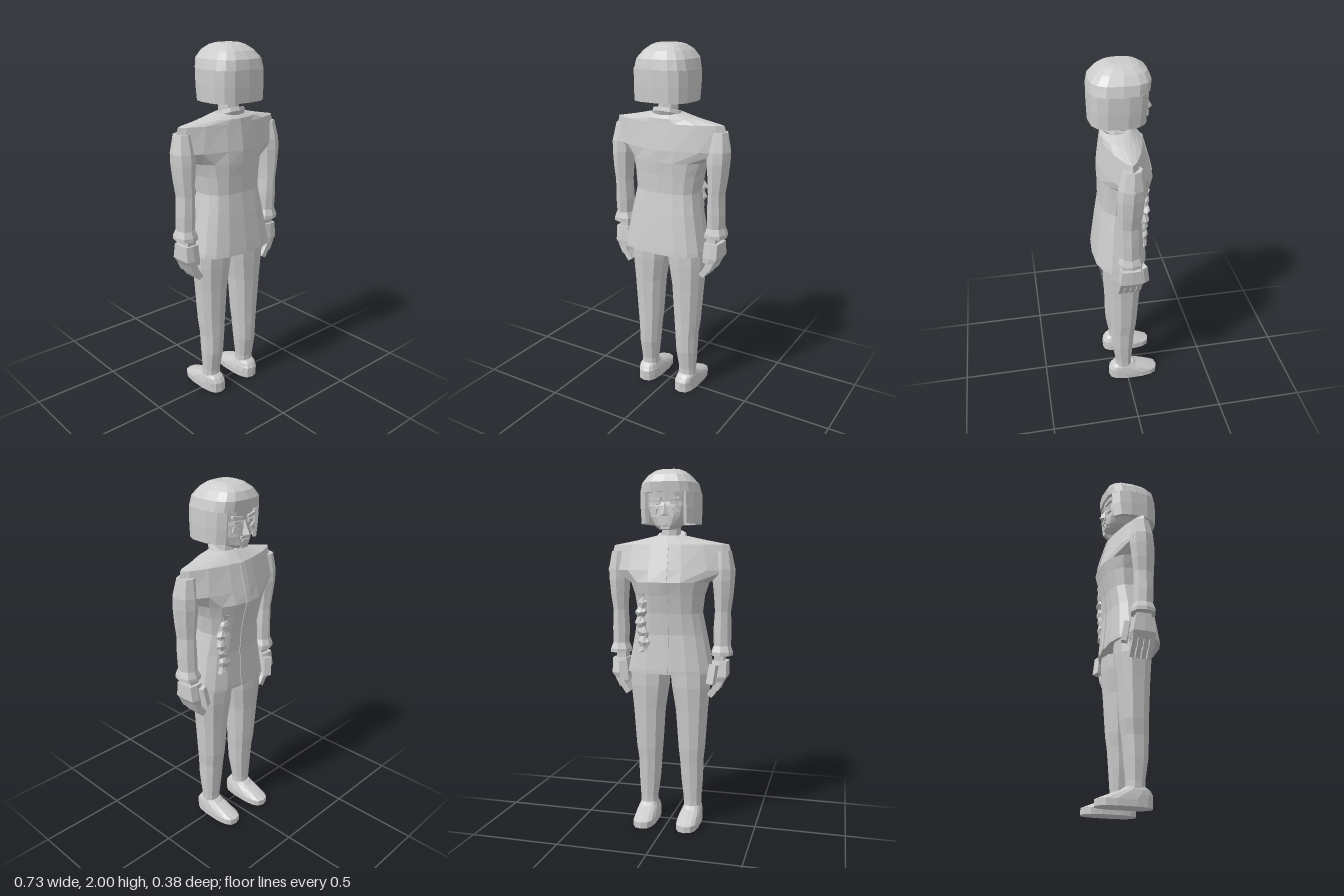
import * as THREE from 'three';

const cloth = new THREE.MeshStandardMaterial({ color: 0xcccccc, flatShading: true });
cloth.name = 'plain grey';

// One horizontal section: x range, z range (back, front), squareness n; faces -z at angle 0
function section(y, x0, x1, back, front, n = 2.4, count = 12, a0 = 0, a1 = Math.PI * 2, tilt = 0) {
  const pw = v => Math.sign(v) * Math.pow(Math.abs(v), 2 / n);
  const full = a1 - a0 > 6.28, pts = [];
  const steps = full ? count : count - 1;
  const cz = (back + front) / 2;
  for (let i = 0; i < count; i++) {
    const a = a0 + (a1 - a0) * i / steps;
    const dz = -pw(Math.cos(a)) * (back - front) / 2;
    pts.push([(x0 + x1) / 2 + pw(Math.sin(a)) * (x1 - x0) / 2, y + tilt * dz, cz + dz]);
  }
  return pts;
}

// Skin rings listed from bottom to top, closing both ends
function loft(rings) {
  const pos = [];
  const tri = (a, b, c) => pos.push(...a, ...b, ...c);
  for (let r = 0; r < rings.length - 1; r++) {
    const p = rings[r], q = rings[r + 1];
    p.forEach((_, i) => {
      const j = (i + 1) % p.length;
      tri(p[i], q[i], p[j]);
      tri(p[j], q[i], q[j]);
    });
  }
  [[rings[0], -1], [rings[rings.length - 1], 1]].forEach(([ring, dir]) => {
    const flat = ring.map(p => new THREE.Vector2(p[0], p[2]));
    for (const [a, b, c] of THREE.ShapeUtils.triangulateShape(flat, [])) {
      const A = flat[a], B = flat[b], C = flat[c];
      const up = (B.y - A.y) * (C.x - A.x) - (B.x - A.x) * (C.y - A.y);
      if (up * dir > 0) tri(ring[a], ring[b], ring[c]);
      else tri(ring[a], ring[c], ring[b]);
    }
  });
  const g = new THREE.BufferGeometry();
  g.setAttribute('position', new THREE.Float32BufferAttribute(pos, 3));
  g.computeVertexNormals();
  return g;
}

function add(parent, name, geometry, x = 0, y = 0, z = 0, rx = 0, ry = 0, rz = 0) {
  const m = new THREE.Mesh(geometry, cloth);
  m.name = name;
  m.position.set(x, y, z);
  m.rotation.set(rx, ry, rz);
  parent.add(m);
  return m;
}
const box = (w, h, d) => new THREE.BoxGeometry(w, h, d);
const stack = (rows, n, count) => loft(rows.map(r => section(...r, n, count)));

function makeLeg() {
  const g = new THREE.Group();
  add(g, 'trouserLeg', stack([
    [0.08, 0.08, 0.18, 0.07, -0.03], [0.13, 0.08, 0.18, 0.07, -0.03],
    [0.25, 0.065, 0.188, 0.09, -0.04], [0.36, 0.058, 0.19, 0.095, -0.05],
    [0.44, 0.05, 0.2, 0.095, -0.06], [0.66, 0.035, 0.215, 0.105, -0.075],
    [0.8, 0.012, 0.228, 0.115, -0.088], [0.92, 0, 0.23, 0.12, -0.09]], 2.4, 10));
  add(g, 'shoe', stack([
    [0, 0.062, 0.19, 0.112, -0.19], [0.035, 0.062, 0.19, 0.112, -0.19],
    [0.06, 0.068, 0.187, 0.112, -0.13], [0.085, 0.078, 0.182, 0.095, -0.06],
    [0.1, 0.085, 0.175, 0.075, -0.04]], 2.8, 14));
  return g;
}

function makeArm() {
  const g = new THREE.Group();
  add(g, 'sleeve', stack([
    [1.0, 0.25, 0.345, 0.068, -0.042], [1.12, 0.245, 0.348, 0.075, -0.04],
    [1.23, 0.252, 0.343, 0.078, -0.04], [1.31, 0.247, 0.355, 0.082, -0.05],
    [1.4, 0.238, 0.364, 0.085, -0.06], [1.46, 0.235, 0.366, 0.08, -0.06],
    [1.56, 0.25, 0.345, 0.055, -0.045]], 2, 8));
  add(g, 'cuff', stack([
    [0.985, 0.235, 0.358, 0.082, -0.055], [1.005, 0.235, 0.358, 0.082, -0.055],
    [1.04, 0.25, 0.345, 0.07, -0.04]], 2.4, 8));
  add(g, 'wrist', box(0.055, 0.06, 0.08), 0.285, 0.965, 0.015);
  add(g, 'palm', stack([
    [0.84, 0.24, 0.315, 0.078, -0.055], [0.87, 0.24, 0.335, 0.08, -0.062],
    [0.955, 0.245, 0.335, 0.07, -0.045]], 6, 8));
  for (let i = 0; i < 4; i++) {
    const z = 0.06 - i * 0.032;
    add(g, 'fingerBase', box(0.04, 0.06, 0.027), 0.282, 0.826, z, 0, 0, -0.45);
    add(g, 'fingerTip', box(0.032, 0.06, 0.025), 0.253, 0.782, z, 0, 0, -0.6);
  }
  add(g, 'thumb', box(0.045, 0.11, 0.03), 0.257, 0.885, -0.07, 0.2, 0.4, -0.15);
  return g;
}

function makeHead() {
  const g = new THREE.Group();
  g.name = 'head';
  add(g, 'neck', new THREE.CylinderGeometry(0.052, 0.06, 0.2, 8), 0, 1.66, 0.025);
  add(g, 'face', stack([
    [1.675, -0.04, 0.04, -0.04, -0.11], [1.695, -0.07, 0.07, 0.06, -0.122],
    [1.74, -0.1, 0.1, 0.09, -0.122], [1.8, -0.118, 0.118, 0.1, -0.118],
    [1.82, -0.12, 0.12, 0.1, -0.112], [1.9, -0.12, 0.12, 0.1, -0.122]], 2.5, 16));
  // Nose, mouth and chin
  const nose = new THREE.ConeGeometry(0.026, 0.075, 4);
  add(g, 'nose', nose, 0, 1.785, -0.12, 0.15);
  add(g, 'upperLip', box(0.07, 0.012, 0.02), 0, 1.735, -0.117);
  add(g, 'lowerLip', box(0.05, 0.012, 0.022), 0, 1.717, -0.117);
  add(g, 'chin', box(0.05, 0.022, 0.02), 0, 1.688, -0.108);
  for (const s of [-1, 1]) {
    add(g, 'brow', box(0.06, 0.014, 0.024), s * 0.05, 1.838, -0.108, 0, s * -0.2, s * 0.12);
    add(g, 'eye', box(0.042, 0.014, 0.01), s * 0.048, 1.812, -0.11, 0, s * -0.2, 0);
    add(g, 'cheek', box(0.035, 0.03, 0.014), s * 0.06, 1.775, -0.112, 0, s * -0.3, s * 0.3);
  }
  // Bobbed hair: a closed crown above an open-fronted shell
  add(g, 'hairCrown', stack([
    [1.872, -0.165, 0.165, 0.187, -0.13], [1.925, -0.152, 0.152, 0.178, -0.136],
    [1.965, -0.118, 0.118, 0.145, -0.115], [1.99, -0.085, 0.085, 0.105, -0.075],
    [2.0, -0.06, 0.06, 0.075, -0.04]], 2.9, 16));
  const a0 = 0.2 * Math.PI, a1 = 1.8 * Math.PI;
  const shell = (y, hw, back, front) => [
    ...section(y, -hw, hw, back, front, 2.9, 13, a0, a1),
    ...section(y, -hw + 0.025, hw - 0.025, back - 0.025, front + 0.012, 2.9, 13, a0, a1).reverse()];
  add(g, 'hairSides', loft([
    shell(1.708, 0.163, 0.184, -0.115), shell(1.79, 0.166, 0.187, -0.125),
    shell(1.875, 0.165, 0.187, -0.13)]));
  return g;
}

function makeJacket() {
  const g = new THREE.Group();
  g.name = 'jacket';
  // y, half width, back, front, squareness
  const rows = [
    [0.88, 0.25, 0.182, -0.118, 2.6], [0.9, 0.248, 0.18, -0.118, 2.6],
    [1.1, 0.208, 0.155, -0.105, 2.6], [1.22, 0.185, 0.138, -0.115, 2.6],
    [1.32, 0.2, 0.14, -0.135, 2.4], [1.39, 0.225, 0.145, -0.155, 2.1],
    [1.455, 0.367, 0.145, -0.14, 1.4], [1.595, 0.33, 0.125, -0.1, 1.4],
    [1.62, 0.2, 0.122, -0.07, 1.6], [1.645, 0.085, 0.095, -0.04, 2]];
  add(g, 'jacketBody', loft(rows.map(([y, w, b, f, n]) => section(y, -w, w, b, f, n, 16))));
  // Thin front edge following the chest
  add(g, 'frontEdge', loft(rows.slice(0, 8).map(([y, , , f]) =>
    section(y, -0.018, 0.018, f + 0.006, f - 0.003, 8, 4, Math.PI / 4, Math.PI * 2.25))));
  add(g, 'collar', loft([[1.605, 0.075], [1.63, 0.088], [1.652, 0.082], [1.655, 0.062]].map(
    ([y, w]) => section(y, -w, w, 0.028 + w, 0.028 - w, 2, 10, 0, Math.PI * 2, 0.35))));
  // Crumpled sash hanging on one side of the front
  let seed = 7;
  const rnd = () => (seed = (seed * 16807) % 2147483647) / 2147483647;
  const sash = [];
  for (let i = 0; i <= 12; i++) {
    const y = 1.0 + i * 0.028, w = (i % 2 ? 0.022 : 0.034) + 0.012 * rnd() - i * 0.0008;
    const x = 0.135 - 0.012 * Math.sin(i * 0.7), z = -0.085 - i * 0.001;
    sash.push(section(y, x - w, x + w, z + 0.02, z - w * 0.75, 2, 8)
      .map(p => [p[0], p[1] + (rnd() - 0.5) * 0.02, p[2]]));
  }
  add(g, 'sash', loft(sash));
  return g;
}

export function createModel() {
  const model = new THREE.Group();
  model.name = 'standingFigure';
  model.add(makeHead(), makeJacket());
  for (const [s, side] of [[1, 'left'], [-1, 'right']]) {
    const leg = makeLeg(), arm = makeArm();
    leg.name = side + 'Leg';
    arm.name = side + 'Arm';
    leg.scale.x = arm.scale.x = s;
    model.add(leg, arm);
  }
  return model;
}
